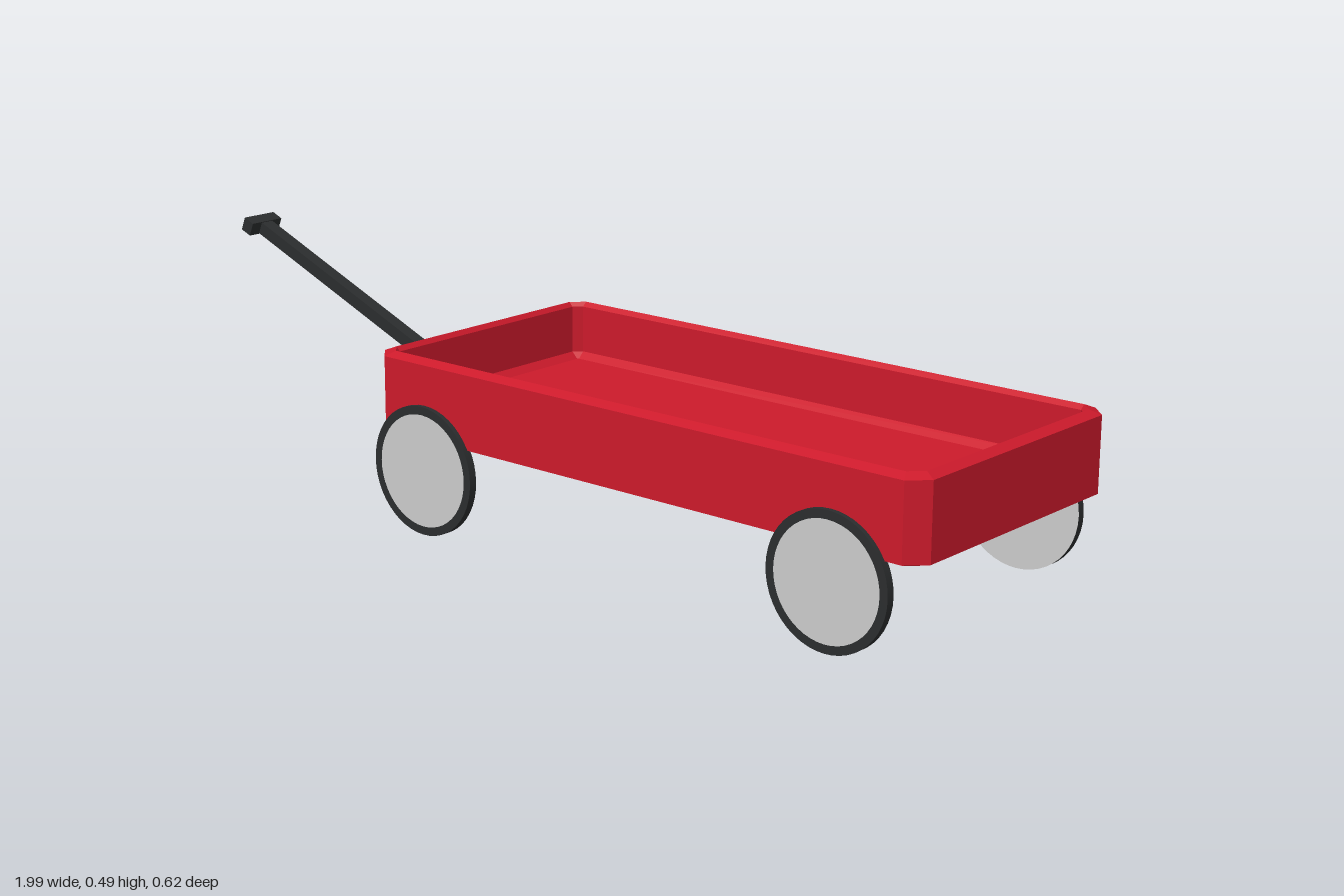
import * as THREE from 'three';

const red = new THREE.MeshStandardMaterial({ color: 0xcc1a2b, flatShading: true });
const dark = new THREE.MeshStandardMaterial({ color: 0x2b2d2e });
const grey = new THREE.MeshStandardMaterial({ color: 0xcccccc });

// Rectangle with cut corners, counterclockwise seen from above
function ring(hx, hz, cut, y) {
  return [
    [hx, hz - cut], [hx, cut - hz], [hx - cut, -hz], [cut - hx, -hz],
    [-hx, cut - hz], [-hx, hz - cut], [cut - hx, hz], [hx - cut, hz],
  ].map(([x, z]) => [x, y, z]);
}

// Join successive rings and close the first and last ones
function loft(rings) {
  const pos = [];
  const tri = (...points) => points.forEach((p) => pos.push(...p));
  for (let k = 0; k < rings.length - 1; k++) {
    const a = rings[k], b = rings[k + 1];
    for (let i = 0; i < 8; i++) {
      const j = (i + 1) % 8;
      tri(a[i], a[j], b[j]);
      tri(a[i], b[j], b[i]);
    }
  }
  const first = rings[0], last = rings[rings.length - 1];
  for (let i = 1; i < 7; i++) {
    tri(first[0], first[i + 1], first[i]);
    tri(last[0], last[i], last[i + 1]);
  }
  const geo = new THREE.BufferGeometry();
  geo.setAttribute('position', new THREE.Float32BufferAttribute(pos, 3));
  geo.computeVertexNormals();
  return geo;
}

function addMesh(parent, name, geometry, material, x = 0, y = 0, z = 0) {
  const mesh = new THREE.Mesh(geometry, material);
  mesh.name = name;
  mesh.position.set(x, y, z);
  parent.add(mesh);
  return mesh;
}

// Wheel with its outer face towards +z
function makeWheel(name) {
  const wheel = new THREE.Group();
  wheel.name = name;
  const r = 0.131, half = 0.0085;
  const tread = addMesh(wheel, 'tyreTread', new THREE.CylinderGeometry(r, r, half * 2, 48, 1, true), dark);
  tread.rotation.x = Math.PI / 2;
  addMesh(wheel, 'tyreSide', new THREE.RingGeometry(0.114, r, 48), dark, 0, 0, half);
  addMesh(wheel, 'hubDisc', new THREE.CircleGeometry(0.114, 48), grey, 0, 0, half);
  const inner = addMesh(wheel, 'innerDisc', new THREE.CircleGeometry(r, 48), grey, 0, 0, -half);
  inner.rotation.y = Math.PI;
  return wheel;
}

export function createModel() {
  const model = new THREE.Group();
  model.name = 'pullWagon';

  // Open tray: underside bevel, outer wall, rim, inner wall, floor bevel
  addMesh(model, 'tray', loft([
    ring(0.626, 0.27, 0.022, 0.18),
    ring(0.6575, 0.302, 0.035, 0.193),
    ring(0.6575, 0.302, 0.035, 0.343),
    ring(0.636, 0.281, 0.025, 0.352),
    ring(0.627, 0.271, 0.016, 0.343),
    ring(0.627, 0.271, 0.016, 0.245),
    ring(0.612, 0.256, 0.003, 0.232),
  ]), red, 0.3425);

  // Four wheels
  for (const [end, x] of [['front', -0.17], ['rear', 0.815]]) {
    for (const side of [1, -1]) {
      const wheel = makeWheel(end + (side > 0 ? 'NearWheel' : 'FarWheel'));
      wheel.position.set(x, 0.131, side * 0.3035);
      if (side < 0) wheel.rotation.y = Math.PI;
      model.add(wheel);
    }
  }

  // Pull handle: sloping bar with a cross grip at its top end
  const handle = new THREE.Group();
  handle.name = 'handle';
  handle.position.set(-0.262, 0.181, 0.006);
  handle.rotation.z = -Math.atan2(0.292, 0.722);
  const length = 0.78;
  addMesh(handle, 'handleBar', new THREE.BoxGeometry(length, 0.027, 0.03), dark, -length / 2);
  addMesh(handle, 'handleGrip', new THREE.BoxGeometry(0.028, 0.03, 0.083), dark, 0.013 - length);
  model.add(handle);

  return model;
}
